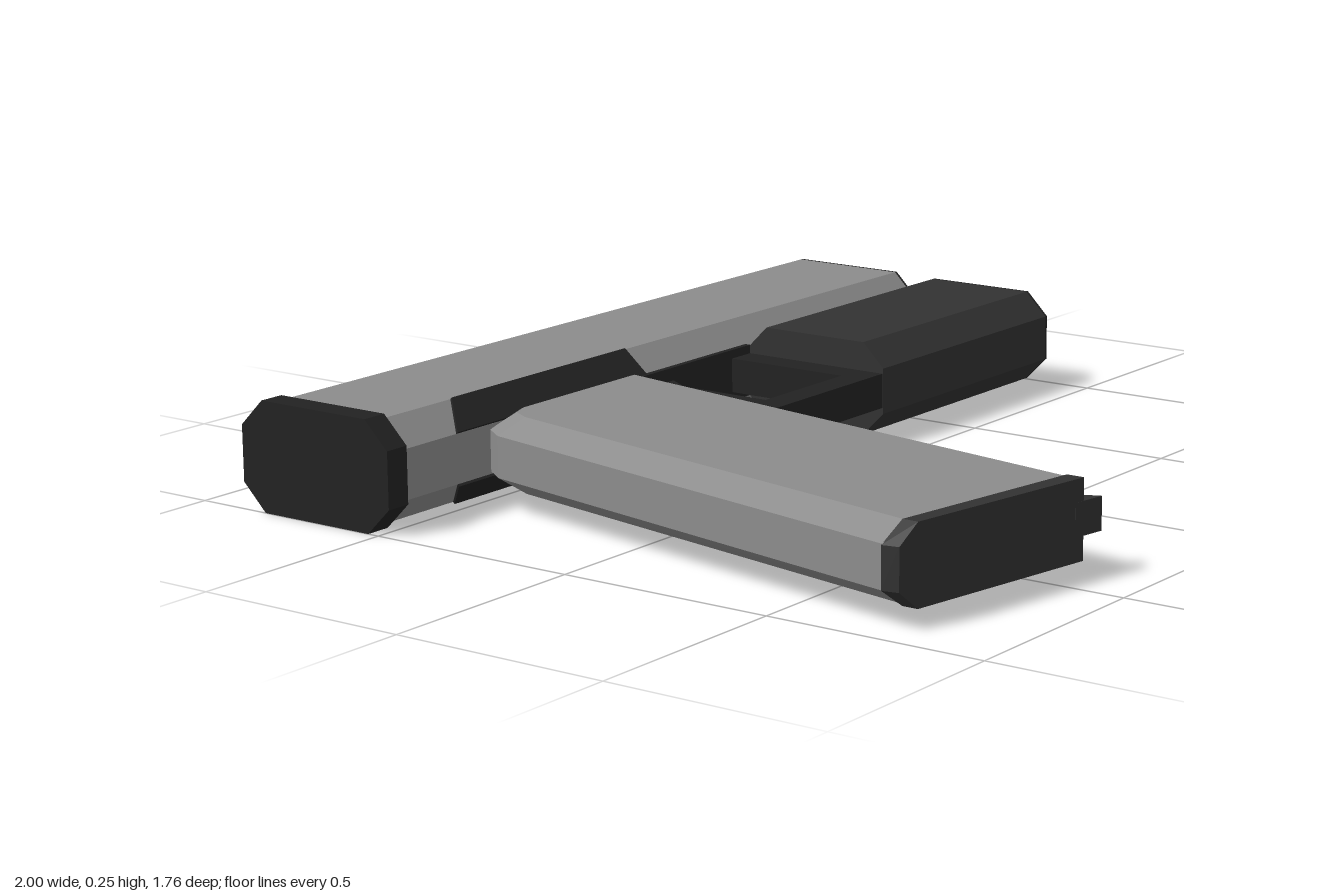
import * as THREE from 'three';

const mat = (name, color) => {
  const m = new THREE.MeshStandardMaterial({ color });
  m.name = name;
  return m;
};

export function createModel() {
  const group = new THREE.Group();
  const light = mat('lightGrey', 0x8c8c8c);
  const frame = mat('darkGrey', 0x323232);
  const black = mat('black', 0x222222);

  const add = (name, geo, material) => {
    const mesh = new THREE.Mesh(geo, material);
    mesh.name = name;
    group.add(mesh);
    return mesh;
  };
  const shapeOf = (pts, f) => new THREE.Shape(pts.map(([a, b]) => new THREE.Vector2(...f(a, b))));
  const extrude = (shape, depth) =>
    new THREE.ExtrudeGeometry(shape, { depth, bevelEnabled: false, curveSegments: 16 });

  // Outline in (z, y), extruded along x
  const prism = (pts, x0, x1) =>
    extrude(shapeOf(pts, (z, y) => [-z, y]), x1 - x0).rotateY(Math.PI / 2).translate(x0, 0, 0);

  // Outline in (x, z), extruded along y
  const slab = (pts, y0, y1, hole) => {
    const s = shapeOf(pts, (x, z) => [x, -z]);
    if (hole) s.holes.push(shapeOf(hole, (x, z) => [x, -z]));
    return extrude(s, y1 - y0).rotateX(-Math.PI / 2).translate(0, y0, 0);
  };

  // Stacked convex (x, z) outlines with flat caps, lowest first
  const layers = (rings) => {
    const pos = [];
    const P = (r, i) => {
      const [x, z] = rings[r].pts[i % rings[r].pts.length];
      return [x, rings[r].y, z];
    };
    const tri = (a, b, c) => pos.push(...a, ...b, ...c);
    const n = rings[0].pts.length, top = rings.length - 1;
    for (let r = 0; r < top; r++) {
      for (let i = 0; i < n; i++) {
        tri(P(r, i), P(r, i + 1), P(r + 1, i + 1));
        tri(P(r, i), P(r + 1, i + 1), P(r + 1, i));
      }
    }
    for (let i = 1; i < n - 1; i++) {
      tri(P(0, 0), P(0, i + 1), P(0, i));
      tri(P(top, 0), P(top, i), P(top, i + 1));
    }
    const g = new THREE.BufferGeometry();
    g.setAttribute('position', new THREE.Float32BufferAttribute(pos, 3));
    g.computeVertexNormals();
    return g;
  };

  const octagon = (z0, z1, y0, y1, c) => [
    [z0 + c, y0], [z1 - c, y0], [z1, y0 + c], [z1, y1 - c],
    [z1 - c, y1], [z0 + c, y1], [z0, y1 - c], [z0, y0 + c],
  ];

  // Long upper body, with a notch cut into one side
  const body = octagon(-0.877, -0.472, 0.01, 0.236, 0.058);
  const notched = [[-0.7, 0.06], [-0.7, 0.01], ...body.slice(1), [-0.869, 0.06]];
  add('slideRear', prism(body, -0.94, -0.66), light);
  add('slideNotched', prism(notched, -0.66, -0.3), light);
  add('slideFront', prism(body, -0.3, 0.945), light);
  add('slideFrontFace', prism(body, 0.945, 0.952), black);
  add('notchFloor', slab([[-0.66, -0.866], [-0.3, -0.866], [-0.3, -0.7], [-0.66, -0.7]], 0.053, 0.061), black);
  add('rearCap', prism(octagon(-0.88, -0.468, 0, 0.246, 0.06), -1, -0.94), black);

  // Round front tube with a shallow bore
  const ring = new THREE.Shape().absarc(0, 0, 0.075, 0, Math.PI * 2);
  ring.holes.push(new THREE.Path().absarc(0, 0, 0.06, 0, Math.PI * 2, true));
  add('tubeRim', extrude(ring, 0.05).rotateY(Math.PI / 2).translate(0.95, 0.125, -0.757), black);
  add('tubeCore', new THREE.CylinderGeometry(0.062, 0.062, 0.04, 24)
    .rotateZ(Math.PI / 2).translate(0.968, 0.125, -0.757), black);

  // Dark plates on the two sloping lower edges
  for (const s of [1, -1]) {
    const plate = shapeOf([[-0.78, -0.041 * s], [-0.13, -0.041 * s], [-0.14, 0.041 * s], [-0.73, 0.041 * s]],
      (x, y) => [x, y]);
    add(s > 0 ? 'upperEdgePlate' : 'lowerEdgePlate',
      extrude(plate, 0.006).rotateX(-s * Math.PI / 4).translate(0, 0.123 + s * 0.084, -0.501), black);
  }

  // Block under the front
  add('frontBlock', prism(octagon(-0.472, -0.088, 0.016, 0.232, 0.055), 0.25, 0.945), frame);
  add('frontBlockFace', prism(octagon(-0.472, -0.088, 0.016, 0.232, 0.055), 0.945, 0.952), black);

  // Guard loop, its lever and the strip above
  add('guard', slab([[-0.3, -0.09], [0.25, -0.09], [0.25, -0.475], [-0.24, -0.475]], 0.085, 0.165,
    [[-0.11, -0.155], [0.18, -0.155], [0.18, -0.47], [-0.11, -0.47]]), black);
  add('lever', slab([[-0.12, -0.475], [-0.035, -0.475], [-0.1, -0.37], [-0.12, -0.25]], 0.095, 0.155), black);
  add('underStrip', new THREE.BoxGeometry(0.4, 0.12, 0.02).translate(0.05, 0.125, -0.475), black);

  // Slanted handle: two bevelled side panels around a recessed middle
  const outer = [[-0.955, 0.74], [-0.44, 0.825], [-0.22, -0.475], [-0.64, -0.475], [-0.69, -0.455], [-0.725, -0.405]];
  const inset = [[-0.895, 0.75], [-0.44, 0.825], [-0.228, -0.43], [-0.61, -0.43], [-0.65, -0.415], [-0.675, -0.37]];
  const middle = outer.map(([x, z], i) => (i === 1 || i === 2 ? [x - 0.05, z] : [x, z]));
  add('handleLowerPanel', layers([{ y: 0.04, pts: inset }, { y: 0.08, pts: outer }, { y: 0.09, pts: outer }]), light);
  add('handleMiddle', layers([{ y: 0.09, pts: middle }, { y: 0.162, pts: middle }]), light);
  add('handleUpperPanel', layers([{ y: 0.162, pts: outer }, { y: 0.172, pts: outer }, { y: 0.208, pts: inset }]), light);
  add('handleFrontStrip', slab([[-0.5, 0.815], [-0.455, 0.823], [-0.235, -0.475], [-0.28, -0.475]], 0.09, 0.162), black);

  // Base plate with a narrow toe
  const base = [[-0.95, 0.775], [-0.435, 0.866], [-0.435, 0.826], [-0.957, 0.738]];
  const baseEdge = [[-0.9, 0.784], [-0.435, 0.866], [-0.435, 0.826], [-0.9, 0.748]];
  add('basePlate', layers([
    { y: 0.038, pts: baseEdge }, { y: 0.08, pts: base }, { y: 0.17, pts: base }, { y: 0.21, pts: baseEdge },
  ]), frame);
  add('baseToe', slab([[-0.46, 0.822], [-0.4, 0.832], [-0.382, 0.876], [-0.46, 0.862]], 0.09, 0.162), frame);

  return group;
}
